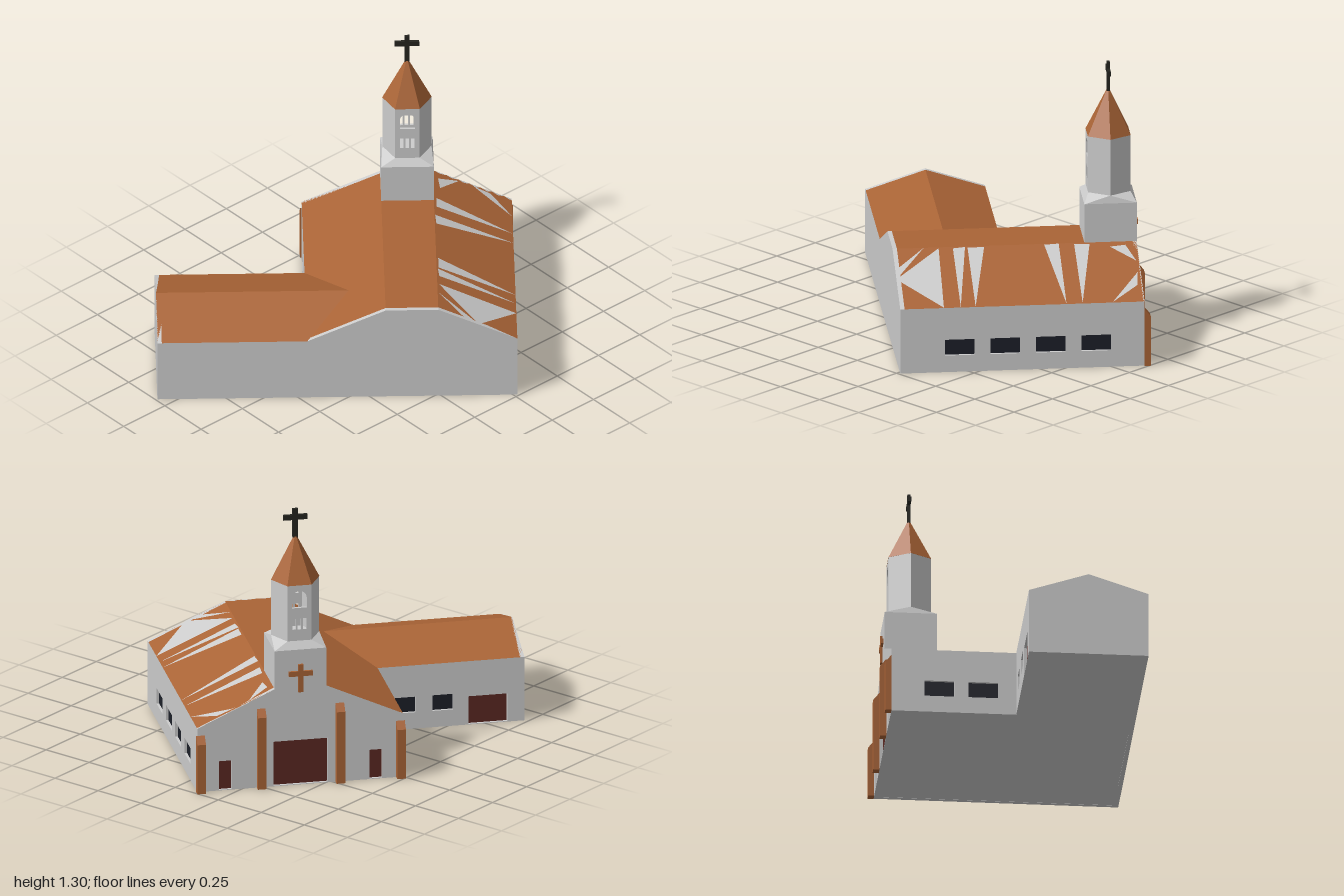
import * as THREE from 'three';
import { ConvexGeometry } from 'three/addons/geometries/ConvexGeometry.js';

const mat = (color, side = THREE.FrontSide) =>
  new THREE.MeshStandardMaterial({ color, side, flatShading: true });
const GREY = mat(0xcccccc), GREY2 = mat(0xcccccc, THREE.DoubleSide);
const TILE = mat(0xaa6436), TILE2 = mat(0xaa6436, THREE.DoubleSide);
const DOOR = mat(0x5a2822), GLASS = mat(0x1c1f28), IRON = mat(0x24241f);

// Plan: hall x X0..X1, wing x X1..X2, facade at z ZF, back at ZB, wing front at ZW
const X0 = -0.68, X1 = 0.277, X2 = 0.96, ZF = 0.72, ZB = -0.398, ZW = 0.149;
const CX = -0.2, FLAT = 0.12, EAVE = 0.31, TOP = 0.475, WTOP = 0.4, ZR = (ZB + ZW) / 2;
const TZ = ZF - FLAT;

const shapeOf = pts => new THREE.Shape(pts.map(p => new THREE.Vector2(...p)));
const rect = (x0, y0, x1, y1) => [[x0, y0], [x1, y0], [x1, y1], [x0, y1]];

export function createModel() {
  const root = new THREE.Group();
  root.name = 'church';
  const g = new THREE.Group();
  g.name = 'building';
  g.rotation.y = -2.268;
  root.add(g);

  const add = (name, geo, material, x = 0, y = 0, z = 0, parent = g) => {
    const m = new THREE.Mesh(geo, material);
    m.name = name;
    m.position.set(x, y, z);
    parent.add(m);
    return m;
  };

  // Wall with recessed openings [centre, bottom, width, height, name, material]
  const wall = (name, pts, x, z, rot, openings = []) => {
    const grp = new THREE.Group();
    grp.name = name;
    grp.position.set(x, 0, z);
    grp.rotation.y = rot;
    g.add(grp);
    const s = shapeOf(pts);
    for (const [c, y, w, h, label, m] of openings) {
      s.holes.push(shapeOf(rect(c - w / 2, y, c + w / 2, y + h)));
      add(label, new THREE.BoxGeometry(w, h, 0.004), m, c, y + h / 2, -0.014, grp);
    }
    const geo = new THREE.ExtrudeGeometry(s, { depth: 0.02, bevelEnabled: false });
    add(name + 'Panel', geo.translate(0, 0, -0.02), GREY, 0, 0, 0, grp);
  };
  const win = (c, w = 0.135) => [c, 0.08, w, 0.076, 'window', GLASS];
  const door = (c, w, h) => [c, 0.003, w, h, 'door', DOOR];

  wall('facade', [[X0, 0], [X1, 0], [X1, EAVE], [CX + FLAT, TOP], [CX - FLAT, TOP], [X0, EAVE]],
    0, ZF, 0, [door(CX, 0.25, 0.215), door(CX - 0.35, 0.06, 0.14), door(CX + 0.35, 0.06, 0.14)]);
  wall('backWall', [[-X2, 0], [-X0, 0], [-X0, EAVE], [FLAT - CX, TOP], [-FLAT - CX, TOP],
    [-X1, EAVE], [-X2, EAVE]], 0, ZB, Math.PI);
  wall('hallRightWall', rect(ZB, 0, ZF, EAVE), X0, 0, -Math.PI / 2,
    [0, 1, 2, 3].map(i => win(-0.125 + i * 0.208)));
  wall('hallLeftWall', rect(-ZF, 0, -ZW, EAVE), X1, 0, Math.PI / 2, [win(-0.5), win(-0.3)]);
  wall('wingFrontWall', rect(X1, 0, X2, EAVE), 0, ZW, 0,
    [win(0.405, 0.095), win(0.58, 0.095), door(0.79, 0.18, 0.135)]);
  wall('wingEndWall', [[-ZW, 0], [-ZB, 0], [-ZB, EAVE], [-ZR, WTOP], [-ZW, EAVE]],
    X2, 0, Math.PI / 2);

  // Floor
  const floor = new THREE.ShapeGeometry(shapeOf(
    [[X0, -ZF], [X1, -ZF], [X1, -ZW], [X2, -ZW], [X2, -ZB], [X0, -ZB]]));
  add('floor', floor.rotateX(-Math.PI / 2), GREY2, 0, 0.001, 0);

  // Flat polygon from corners, fanned from the first
  const panel = (name, pts, m) => {
    const v = [];
    for (let i = 1; i < pts.length - 1; i++) v.push(...pts[0], ...pts[i], ...pts[i + 1]);
    const geo = new THREE.BufferGeometry();
    geo.setAttribute('position', new THREE.Float32BufferAttribute(v, 3));
    geo.computeVertexNormals();
    add(name, geo, m);
  };

  // Hall roof: two slopes and a flat crown
  const edges = [[X1, EAVE], [CX + FLAT, TOP], [CX - FLAT, TOP], [X0, EAVE]];
  ['hallRoofLeft', 'hallRoofCrown', 'hallRoofRight'].forEach((name, i) => {
    const [a, b] = [edges[i], edges[i + 1]];
    panel(name, [[...a, ZF], [...a, ZB], [...b, ZB], [...b, ZF]], TILE2);
  });

  // Wing roof, its ridge running into the hall slope
  const xr = X1 - (X1 - CX - FLAT) * (WTOP - EAVE) / (TOP - EAVE);
  panel('wingRoofFront', [[X1, EAVE, ZW], [X2, EAVE, ZW], [X2, WTOP, ZR], [xr, WTOP, ZR]], TILE2);
  panel('wingRoofBack', [[X2, EAVE, ZB], [X1, EAVE, ZB], [xr, WTOP, ZR], [X2, WTOP, ZR]], TILE2);

  // Pale bare patches on the right slope, corners as x, z
  const slopeY = x => EAVE + (x - X0) / (CX - FLAT - X0) * (TOP - EAVE) + 0.002;
  [
    [-0.506, 0.706, -0.583, 0.697, -0.68, 0.574],
    [-0.439, 0.706, -0.343, 0.665, -0.351, 0.593],
    [-0.678, 0.437, -0.333, 0.502, -0.33, 0.432],
    [-0.68, 0.363, -0.323, 0.362, -0.327, 0.295],
    [-0.68, -0.053, -0.329, 0.02, -0.329, -0.056],
    [-0.68, -0.121, -0.325, -0.067, -0.331, -0.123],
    [-0.68, -0.198, -0.327, -0.188, -0.504, -0.398],
    [-0.504, -0.398, -0.322, -0.256, -0.45, -0.397],
  ].forEach(t => panel('roofPatch',
    [0, 2, 4].map(i => [t[i], slopeY(t[i]), t[i + 1]]), GREY2));

  // Facade buttresses with sloping tops
  for (const [dx, h] of [[0.465, 0.275], [0.183, 0.385]]) for (const s of [-1, 1]) {
    const geo = new THREE.ExtrudeGeometry(
      shapeOf([[0, 0], [0.028, 0], [0.028, h - 0.035], [0, h]]), { depth: 0.04, bevelEnabled: false });
    geo.translate(0, 0, -0.02).rotateY(-Math.PI / 2);
    add('buttress', geo, TILE, CX + s * dx, 0, ZF);
  }

  // Crosses: one on the facade, one on the spire
  const cross = (name, m, y0, h, armY, span, t, d, z) => {
    add(name + 'Post', new THREE.BoxGeometry(t, h, d), m, CX, y0 + h / 2, z);
    for (const s of [-1, 1])
      add(name + 'Arm', new THREE.BoxGeometry((span - t) / 2, t, d), m, CX + s * (span + t) / 4, armY, z);
  };
  cross('facadeCross', TILE, 0.455, 0.135, 0.545, 0.11, 0.024, 0.012, ZF + 0.005);
  cross('spireCross', IRON, 1.165, 0.14, 1.263, 0.112, 0.024, 0.014, TZ);

  // Tower base and the shoulder from square to hexagon
  const R = 0.112, Y1 = 0.66, Y2 = 0.695, Y3 = 0.965;
  add('towerBase', new THREE.BoxGeometry(2 * FLAT, Y1 - TOP, 2 * FLAT), GREY, CX, (Y1 + TOP) / 2, TZ);
  const pts = [];
  for (const sx of [-1, 1]) for (const sz of [-1, 1])
    pts.push(new THREE.Vector3(sx * FLAT, Y1, sz * FLAT));
  for (let i = 0; i < 6; i++)
    pts.push(new THREE.Vector3(R * Math.cos(i * Math.PI / 3), Y2, R * Math.sin(i * Math.PI / 3)));
  add('towerShoulder', new ConvexGeometry(pts), GREY, CX, 0, TZ);

  // Hexagonal belfry; front and back have an arch over three slots
  for (let i = 0; i < 6; i++) {
    const s = shapeOf(rect(-R / 2, Y2 - 0.005, R / 2, Y3));
    if (i % 3 === 0) {
      const arch = new THREE.Path();
      arch.moveTo(-0.034, 0.855).lineTo(0.034, 0.855).lineTo(0.034, 0.905);
      arch.absellipse(0, 0.905, 0.034, 0.032, 0, Math.PI, false);
      arch.closePath();
      s.holes.push(arch);
      for (const c of [-0.025, 0, 0.025])
        s.holes.push(shapeOf(rect(c - 0.008, 0.75, c + 0.008, 0.803)));
    }
    const geo = new THREE.ExtrudeGeometry(s, { depth: 0.012, bevelEnabled: false, curveSegments: 8 });
    geo.translate(0, 0, R * Math.sqrt(3) / 2 - 0.012);
    add('belfryWall', geo, GREY, CX, 0, TZ).rotation.y = i * Math.PI / 3;
  }

  // Spire
  add('spire', new THREE.ConeGeometry(R + 0.001, 0.22, 6, 1, false, Math.PI / 6), TILE, CX, Y3 + 0.11, TZ);

  return root;
}
